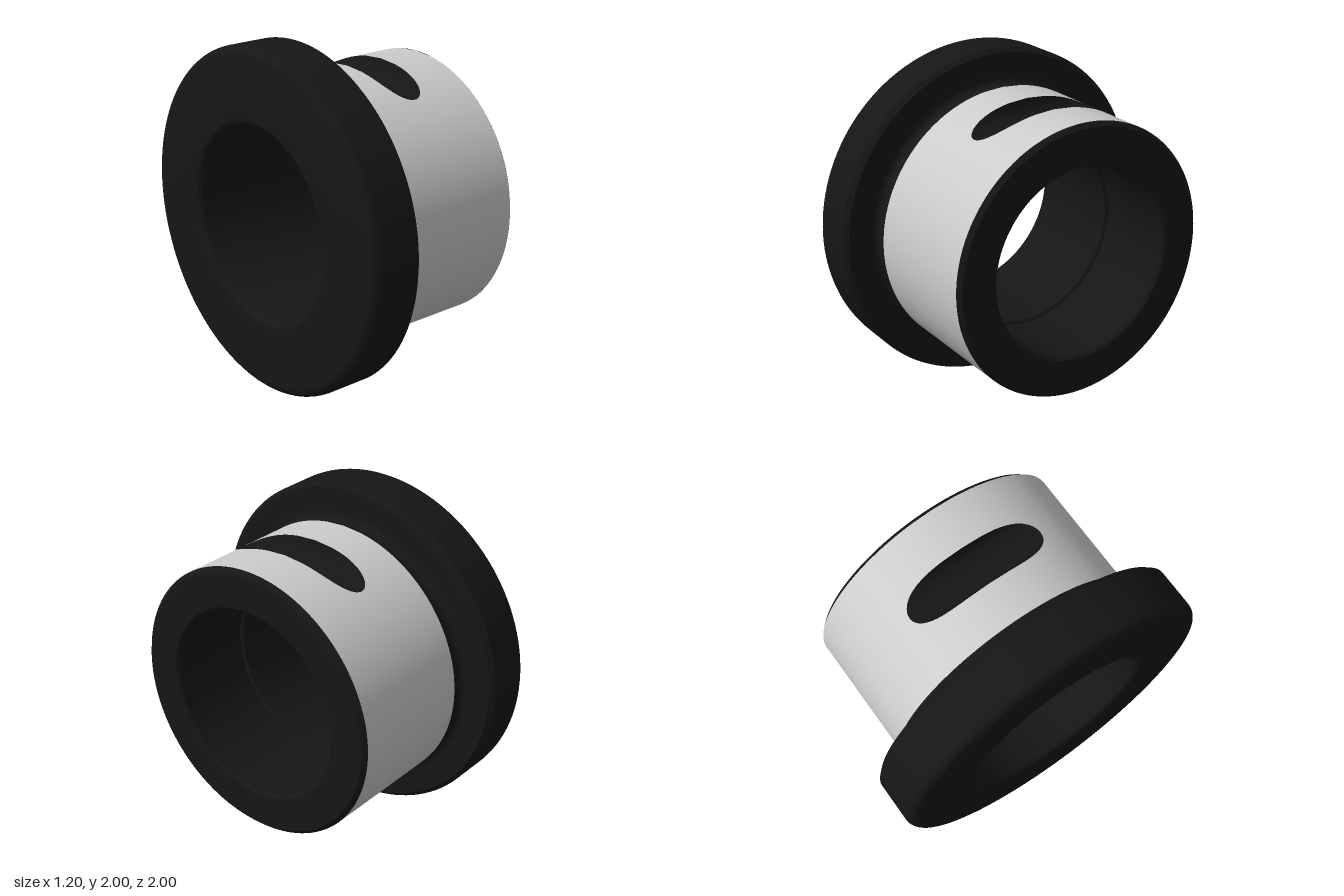
import * as THREE from 'three';
import { toCreasedNormals } from 'three/addons/utils/BufferGeometryUtils.js';

const R = 0.8;            // sleeve radius
const SLOT_X = 0.175;     // slot centre along the axis
const SLOT_R = 0.125;     // slot radius
const SEG = 128;

// Grid surface from a function of two indices; front side is du x dv
function grid(nu, nv, fn) {
  const pos = [], idx = [];
  for (let i = 0; i <= nu; i++) for (let j = 0; j <= nv; j++) pos.push(...fn(i, j));
  for (let i = 0; i < nu; i++) for (let j = 0; j < nv; j++) {
    const a = i * (nv + 1) + j, b = a + nv + 1;
    idx.push(a, b, a + 1, b, b + 1, a + 1);
  }
  const g = new THREE.BufferGeometry();
  g.setAttribute('position', new THREE.Float32BufferAttribute(pos, 3));
  g.setIndex(idx);
  g.computeVertexNormals();
  return g;
}

// Profile of [axial x, radius] pairs turned about the x axis
function turned(profile) {
  const g = new THREE.LatheGeometry(profile.map(([x, r]) => new THREE.Vector2(r, x)), SEG);
  g.rotateZ(-Math.PI / 2);
  return toCreasedNormals(g, 0.45);
}

// Points of an arc in the profile plane
function arc(cx, cr, rad, from, to, n = 8) {
  return Array.from({ length: n + 1 }, (_, k) => {
    const a = from + (to - from) * k / n;
    return [cx + rad * Math.cos(a), cr + rad * Math.sin(a)];
  });
}

export function createModel() {
  const group = new THREE.Group();
  const body = new THREE.Group();
  body.position.y = 1;
  group.add(body);
  const dark = new THREE.MeshStandardMaterial({ color: 0x161616, side: THREE.DoubleSide });
  const grey = new THREE.MeshStandardMaterial({ color: 0xcccccc, side: THREE.DoubleSide });
  const add = (name, geo, mat) => {
    const m = new THREE.Mesh(geo, mat);
    m.name = name;
    body.add(m);
    return m;
  };
  const PI = Math.PI;

  // Flange with rounded rear rim, chamfered front rim and undercut neck
  add('flange', turned([
    [-0.6, 0.6],
    ...arc(-0.54, 0.94, 0.06, PI, PI / 2),
    [-0.305, 1], [-0.28, 0.975], [-0.28, 0.83],
    ...arc(-0.24, 0.83, 0.04, PI, 1.5 * PI),
    [-0.225, 0.792], [-0.2, R],
  ]), dark);

  // Chamfered end face
  add('endFace', turned([[0.575, R], [0.6, 0.775], [0.6, 0.575]]), dark);

  // Bore with a shallow inner groove and rounded rear mouth
  add('bore', turned([
    [0.6, 0.575], [0.585, 0.56],
    [0.3, 0.56], [0.29, 0.58], [0.06, 0.58], [0.05, 0.56],
    ...arc(-0.56, 0.6, 0.04, 1.5 * PI, PI),
  ]), dark);

  // Angles round the sleeve, matched to the slot edge points
  const n = 20, edge = [];
  for (let k = 0; k <= n; k++) edge.push(Math.acos(1 - SLOT_R * Math.sin(k / n * PI / 2) / R));
  const last = edge[n], half = [...edge];
  for (let k = 1; k < 40; k++) half.push(last + (PI - 2 * last) * k / 40);
  for (let k = n; k >= 0; k--) half.push(PI - edge[k]);
  const angles = [...half, ...half.slice(1).map((a) => a + PI)];
  const slotHalf = (a) => {
    const d = R * (1 - Math.abs(Math.cos(a)));
    return Math.sqrt(Math.max(0, SLOT_R * SLOT_R - d * d));
  };

  // Sleeve surface on either side of the slots
  for (const [name, side, end] of [['sleeveRear', -1, -0.2], ['sleeveFront', 1, 0.575]]) {
    const g = grid(angles.length - 1, 1, (i, j) => {
      const a = angles[i], cut = SLOT_X + side * slotHalf(a);
      const x = (j === 0) === (side < 0) ? end : cut;
      return [x, R * Math.cos(a), R * Math.sin(a)];
    });
    const p = g.attributes.position, nor = g.attributes.normal;
    for (let i = 0; i < p.count; i++) nor.setXYZ(i, 0, p.getY(i) / R, p.getZ(i) / R);
    add(name, g, grey);
  }

  // Scooped slots across the top and bottom
  const scoop = grid(1, 2 * n, (i, j) => {
    const a = j / (2 * n) * PI;
    const y = R - SLOT_R * Math.sin(a);
    const z = Math.sqrt(Math.max(0, R * R - y * y));
    return [SLOT_X - SLOT_R * Math.cos(a), y, i ? z : -z];
  });
  add('topSlot', scoop, dark);
  add('bottomSlot', scoop, dark).rotation.x = PI;

  // Flat rear face of the flange is closed between rim and bore
  add('rearFace', turned([[-0.6, 0.6], [-0.6, 0.94]]), dark);
  return group;
}
